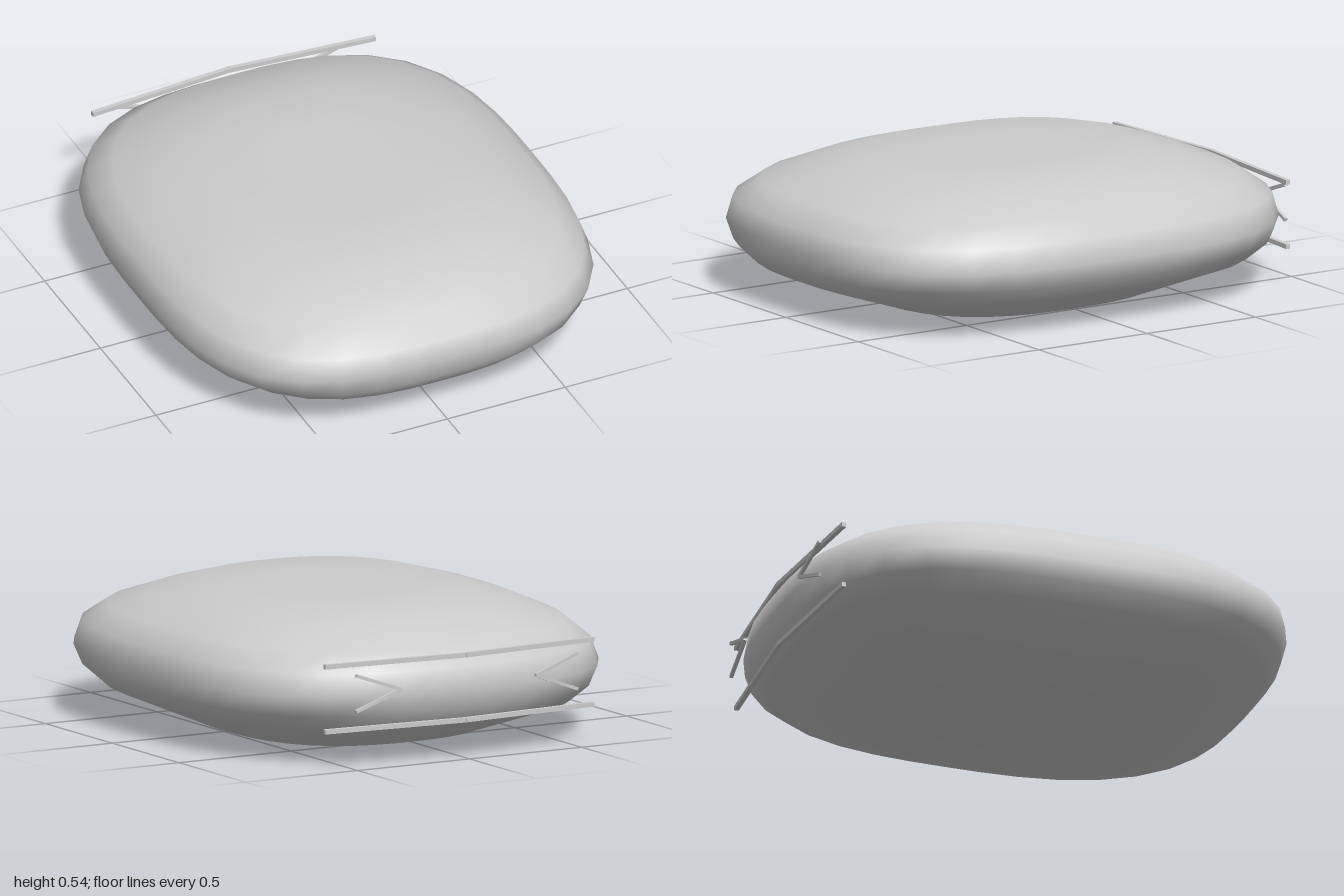
import * as THREE from 'three';

const material = new THREE.MeshStandardMaterial({ color: 0xcccccc });
const SEGMENTS = 40;

// Cushion cross-sections from bottom to top: height, half width, half depth, squareness
const RINGS = [
  [0, 0.27, 0.32, 2.6],
  [0, 0.49, 0.56, 2.6],
  [0.125, 0.78, 0.92, 2.8],
  [0.19, 0.84, 0.975, 3],
  [0.27, 0.87, 0.99, 3.1],
  [0.36, 0.84, 0.98, 3],
  [0.43, 0.77, 0.89, 2.8],
  [0.49, 0.635, 0.73, 2.6],
  [0.54, 0.45, 0.55, 2.6],
  [0.54, 0.25, 0.32, 2.6],
];

function cushionGeometry() {
  const positions = [];
  const indices = [];
  for (const [y, rx, rz, n] of RINGS) {
    for (let i = 0; i < SEGMENTS; i++) {
      const a = (i / SEGMENTS) * Math.PI * 2;
      const c = Math.cos(a);
      const s = Math.sin(a);
      // radius of a superellipse along this direction
      const k = Math.pow(Math.abs(c) ** n + Math.abs(s) ** n, -1 / n);
      positions.push(rx * c * k, y, rz * s * k);
    }
  }
  const bottom = positions.length / 3;
  const top = bottom + 1;
  positions.push(0, RINGS[0][0], 0, 0, RINGS[RINGS.length - 1][0], 0);

  const last = (RINGS.length - 1) * SEGMENTS;
  for (let i = 0; i < SEGMENTS; i++) {
    const j = (i + 1) % SEGMENTS;
    for (let r = 0; r < last; r += SEGMENTS) {
      indices.push(r + i, r + SEGMENTS + i, r + j);
      indices.push(r + j, r + SEGMENTS + i, r + SEGMENTS + j);
    }
    indices.push(bottom, i, j);
    indices.push(top, last + j, last + i);
  }
  const geometry = new THREE.BufferGeometry();
  geometry.setAttribute('position', new THREE.Float32BufferAttribute(positions, 3));
  geometry.setIndex(indices);
  geometry.computeVertexNormals();
  return geometry;
}

// Thin square bar between two points
function bar(name, from, to, thickness) {
  const a = new THREE.Vector3(...from);
  const b = new THREE.Vector3(...to);
  const mesh = new THREE.Mesh(new THREE.BoxGeometry(thickness, thickness, a.distanceTo(b)), material);
  mesh.name = name;
  mesh.position.copy(a).add(b).multiplyScalar(0.5);
  mesh.lookAt(b);
  return mesh;
}

export function createModel() {
  const model = new THREE.Group();
  model.name = 'cushion';

  const body = new THREE.Mesh(cushionGeometry(), material);
  body.name = 'cushionBody';
  model.add(body);

  for (const side of [1, -1]) {
    // Upper and lower trim bars, bent at the middle of the back
    for (const [name, y] of [['upperTrim', 0.4], ['lowerTrim', 0.147]]) {
      model.add(bar(name, [0, y, -0.965], [side * 0.6, y, -0.918], 0.018));
    }
    // V-shaped strip between the trims, pointing to the middle
    const strip = new THREE.Group();
    strip.name = side > 0 ? 'leftChevron' : 'rightChevron';
    for (const [name, y] of [['upperArm', 0.365], ['lowerArm', 0.225]]) {
      strip.add(bar(name, [side * 0.3, 0.297, -0.992], [side * 0.495, y, -0.978], 0.013));
    }
    model.add(strip);
  }
  return model;
}
